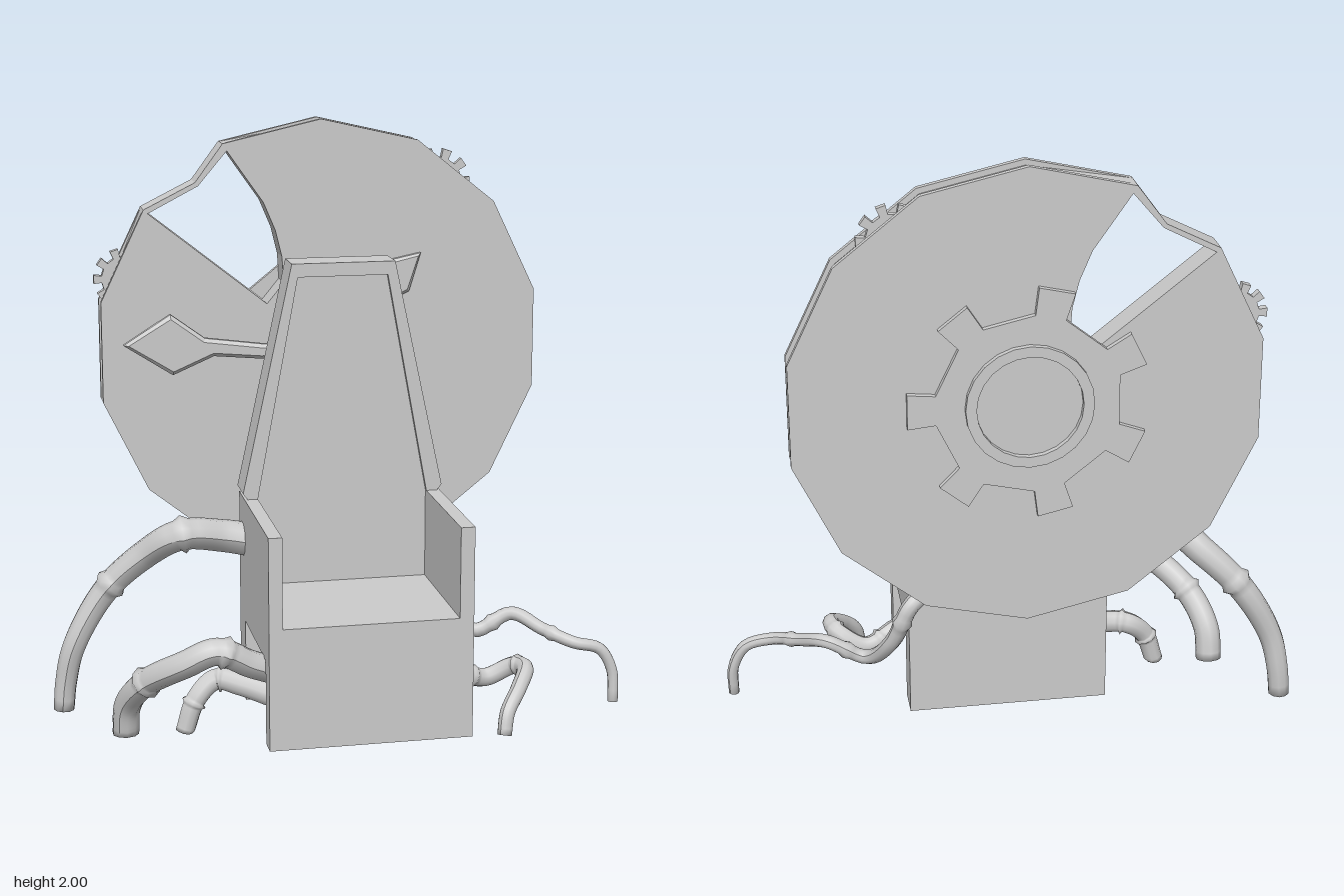
import * as THREE from 'three';

const CX = -0.012, CY = 1.23; // centre of the wheel

export function createModel() {
  const model = new THREE.Group();
  const mat = new THREE.MeshStandardMaterial({ color: 0xcccccc, side: THREE.DoubleSide });
  const flat = new THREE.MeshStandardMaterial({ color: 0xcccccc, flatShading: true, side: THREE.DoubleSide });

  const add = (name, geo, material = flat, parent = model) => {
    const mesh = new THREE.Mesh(geo, material);
    mesh.name = name;
    parent.add(mesh);
    return mesh;
  };
  const box = (name, x0, x1, y0, y1, z0, z1) => {
    const m = add(name, new THREE.BoxGeometry(x1 - x0, y1 - y0, z1 - z0));
    m.position.set((x0 + x1) / 2, (y0 + y1) / 2, (z0 + z1) / 2);
  };
  const toShape = (pts) => new THREE.Shape(pts.map(([x, y]) => new THREE.Vector2(x, y)));
  const slab = (name, shape, z0, z1, bevel = 0, parent = model) => {
    const geo = new THREE.ExtrudeGeometry(shape, {
      depth: z1 - z0 - bevel, bevelEnabled: bevel > 0, bevelThickness: bevel,
      bevelSize: bevel, bevelOffset: -bevel, bevelSegments: 1, curveSegments: 12,
    });
    geo.translate(0, 0, z0);
    return add(name, geo, flat, parent);
  };

  // Chair body
  box('seat', -0.315, 0.36, 0.32, 0.445, -0.19, 0.405);
  box('frontPanel', -0.315, 0.36, 0.035, 0.32, 0.335, 0.405);
  box('rearPanel', -0.315, 0.36, 0.035, 0.32, -0.19, -0.08);
  box('rightArm', -0.315, -0.27, 0.445, 0.75, -0.19, 0.405);
  box('leftArm', 0.313, 0.36, 0.445, 0.75, -0.19, 0.405);
  box('lowerBack', -0.27, 0.313, 0.445, 0.76, -0.19, -0.085);

  // Tapered backrest: recessed panel inside a raised frame
  slab('backPanel', toShape([[-0.3, 0.75], [0.345, 0.75], [0.35, 0.77], [0.19, 1.53], [-0.14, 1.53], [-0.305, 0.77]]), -0.19, -0.085);
  slab('backFrame', toShape([
    [-0.305, 0.75], [-0.27, 0.75], [-0.13, 1.5], [0.175, 1.5], [0.313, 0.75], [0.35, 0.75],
    [0.366, 0.77], [0.2, 1.545], [-0.15, 1.545], [-0.32, 0.77],
  ]), -0.195, -0.07);

  // Fourteen-sided wheel with a broken wedge; the core between the flanges is narrower
  const wheelShape = (scale) => {
    const pts = [];
    for (let k = 0; k < 14; k++) {
      const a = Math.PI / 2 + (k * Math.PI * 2) / 14;
      const r = 0.77 * (k === 1 || k === 2 ? 1 : scale);
      pts.push([CX + r * Math.cos(a), CY + r * Math.sin(a)]);
      if (k === 1) pts.push([-0.44, 1.797]);
    }
    const shape = toShape(pts);
    shape.holes.push(toShape([
      [-0.332, 1.9], [-0.28, 1.825], [-0.21, 1.725], [-0.17, 1.63], [-0.148, 1.54],
      [-0.142, 1.45], [-0.2, 1.38], [-0.6, 1.697], [-0.43, 1.785],
    ]));
    return shape;
  };
  slab('frontFlange', wheelShape(1), -0.29, -0.27);
  slab('wheelCore', wheelShape(0.975), -0.35, -0.29);
  slab('rearFlange', wheelShape(1), -0.37, -0.35);

  // Cogs
  const cogShape = (teeth, root, outer, half) => {
    const pts = [];
    for (let i = 0; i < teeth; i++) {
      const a = (i * Math.PI * 2) / teeth;
      for (const [d, r] of [[-half * 1.1, root], [-half, outer], [half, outer], [half * 1.1, root]]) {
        pts.push([r * Math.cos(a + d), r * Math.sin(a + d)]);
      }
    }
    return toShape(pts);
  };
  slab('rearCog', cogShape(7, 0.3, 0.39, 0.15), -0.39, -0.37).position.set(CX, CY, 0);
  const ring = new THREE.Shape().absarc(0, 0, 0.205, 0, Math.PI * 2);
  ring.holes.push(new THREE.Path().absarc(0, 0, 0.17, 0, Math.PI * 2, true));
  slab('rearCogRing', ring, -0.41, -0.39).position.set(CX, CY, 0);
  slab('leftRimCog', cogShape(10, 0.085, 0.115, 0.14), -0.33, -0.308).position.set(0.4, 1.775, 0);
  slab('rightRimCog', cogShape(10, 0.075, 0.102, 0.14), -0.335, -0.308).position.set(-0.68, 1.475, 0);

  // Spade-ended hands on the front of the wheel
  slab('longHand', toShape([
    [-0.695, 1.262], [-0.53, 1.155], [-0.39, 1.215], [-0.23, 1.2], [0, 1.2],
    [0, 1.255], [-0.22, 1.25], [-0.42, 1.277], [-0.535, 1.362],
  ]), -0.245, -0.215, 0.012);
  const shortHand = slab('shortHand', toShape([
    [0, -0.03], [0.22, -0.03], [0.345, -0.07], [0.463, 0], [0.345, 0.07], [0.22, 0.03], [0, 0.03],
  ]), -0.27, -0.245, 0.01);
  shortHand.position.set(CX, CY, 0);
  shortHand.rotation.z = Math.atan2(0.31, 0.342);
  const hub = add('handHub', new THREE.CylinderGeometry(0.05, 0.05, 0.06, 14));
  hub.rotation.x = Math.PI / 2;
  hub.position.set(CX, CY, -0.245);

  // Root-like legs: tapered tubes with swollen joints and a flat foot
  const root = (name, r0, r1, joints, pts) => {
    const curve = new THREE.CatmullRomCurve3(pts.map((p) => new THREE.Vector3(...p)));
    const N = 56, R = 10;
    const geo = new THREE.TubeGeometry(curve, N, 1, R);
    const pos = geo.attributes.position, v = new THREE.Vector3();
    for (let i = 0; i <= N; i++) {
      const c = curve.getPointAt(i / N), end = curve.getPointAt(1);
      let r = r0 + ((r1 - r0) * i) / N;
      if (joints.some((j) => Math.round(j * N) === i)) r *= 1.25;
      if (i === N) r = 0;
      for (let j = 0; j <= R; j++) {
        const k = i * (R + 1) + j;
        v.fromBufferAttribute(pos, k).sub(c).multiplyScalar(r).add(i === N - 1 ? end : c);
        pos.setXYZ(k, v.x, Math.max(0, v.y), v.z);
      }
    }
    geo.computeVertexNormals();
    add(name, geo, mat);
  };
  root('rightRearRoot', 0.058, 0.036, [0.25, 0.56], [
    [-0.26, 0.59, -0.12], [-0.38, 0.615, -0.12], [-0.53, 0.635, -0.09], [-0.65, 0.55, -0.16],
    [-0.78, 0.42, -0.2], [-0.89, 0.23, -0.2], [-0.92, 0.1, -0.21], [-0.93, 0, -0.21],
  ]);
  root('rightFrontRoot', 0.045, 0.045, [0.25, 0.66], [
    [-0.27, 0.26, 0.27], [-0.36, 0.3, 0.295], [-0.47, 0.355, 0.315], [-0.57, 0.31, 0.29],
    [-0.69, 0.215, 0.18], [-0.74, 0.11, 0.09], [-0.745, 0, 0.06],
  ]);
  root('rightMiddleRoot', 0.042, 0.032, [0.45, 0.75], [
    [-0.26, 0.13, 0.14], [-0.36, 0.16, 0.1], [-0.44, 0.17, 0.065], [-0.51, 0.11, 0.08], [-0.55, 0, 0.085],
  ]);
  root('leftRearRoot', 0.03, 0.018, [0.15, 0.45, 0.66], [
    [0.29, 0.52, -0.22], [0.36, 0.48, -0.26], [0.42, 0.33, -0.22], [0.5, 0.22, -0.12], [0.63, 0.28, -0.1],
    [0.72, 0.245, -0.01], [0.81, 0.215, 0.065], [0.9, 0.19, 0.075], [0.945, 0.11, 0.08], [0.948, 0, 0.09],
  ]);
  root('leftFrontRoot', 0.035, 0.025, [0.22, 0.5], [
    [0.31, 0.19, 0.18], [0.38, 0.165, 0.15], [0.48, 0.13, 0.115], [0.57, 0.175, 0.14],
    [0.595, 0.185, 0.2], [0.55, 0.14, 0.28], [0.5, 0.08, 0.33], [0.485, 0.01, 0.35],
  ]);

  return model;
}
